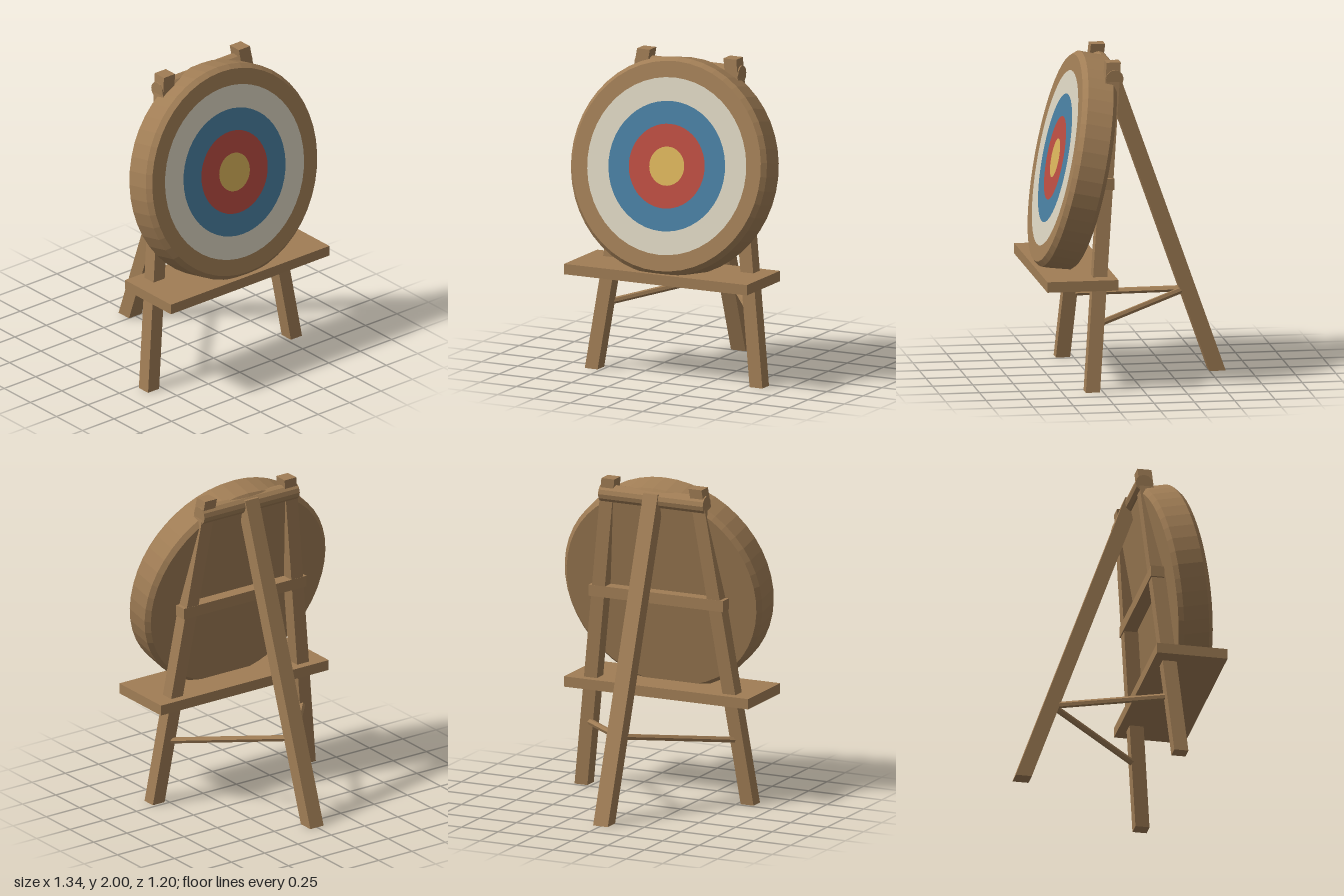
import * as THREE from 'three';

const paint = (color) => new THREE.MeshStandardMaterial({ color, flatShading: true });

export function createModel() {
  const model = new THREE.Group();
  model.name = 'archeryTarget';
  const wood = paint(0xa07d55);

  const add = (name, geometry, material = wood, parent = model) => {
    const mesh = new THREE.Mesh(geometry, material);
    mesh.name = name;
    parent.add(mesh);
    return mesh;
  };

  // Slanted square post whose ends are cut level
  const post = (name, bottom, top, width, depth) => {
    const g = new THREE.BoxGeometry(width, 1, depth);
    const p = g.attributes.position;
    const a = new THREE.Vector3(...bottom), b = new THREE.Vector3(...top);
    for (let i = 0; i < p.count; i++) {
      const c = a.clone().lerp(b, p.getY(i) + 0.5);
      p.setXYZ(i, p.getX(i) + c.x, c.y, p.getZ(i) + c.z);
    }
    g.computeVertexNormals();
    return add(name, g);
  };

  // Round rod between two points
  const rod = (name, from, to, radius, sides) => {
    const a = new THREE.Vector3(...from), b = new THREE.Vector3(...to);
    const mesh = add(name, new THREE.CylinderGeometry(radius, radius, a.distanceTo(b), sides));
    mesh.position.copy(a).add(b).multiplyScalar(0.5);
    mesh.quaternion.setFromUnitVectors(new THREE.Vector3(0, 1, 0), b.sub(a).normalize());
    return mesh;
  };

  // Straight box
  const box = (name, size, position) =>
    add(name, new THREE.BoxGeometry(...size)).position.set(...position);

  // Tilted target: bevelled wooden disc with painted rings set in its face
  const target = new THREE.Group();
  target.name = 'target';
  target.position.set(0, 1.35, 0.45);
  target.rotation.x = THREE.MathUtils.degToRad(-12);
  model.add(target);

  const profile = [[0, -0.218], [0.645, -0.218], [0.672, -0.19], [0.672, -0.03], [0.645, 0], [0.545, 0]]
    .map(([r, y]) => new THREE.Vector2(r, y));
  add('disc', new THREE.LatheGeometry(profile, 48), wood, target).rotation.x = Math.PI / 2;

  const rings = [
    ['goldCentre', 0, 0.12, 0xd8b25a],
    ['redRing', 0.12, 0.26, 0xb94c41],
    ['blueRing', 0.26, 0.40, 0x487d9f],
    ['whiteRing', 0.40, 0.545, 0xd8d1be],
  ];
  for (const [name, inner, outer, color] of rings) {
    const g = inner ? new THREE.RingGeometry(inner, outer, 48) : new THREE.CircleGeometry(outer, 48);
    add(name, g, paint(color), target);
  }

  // Front legs and the braces running back to the rear leg
  for (const [side, s] of [['left', 1], ['right', -1]]) {
    post(side + 'FrontLeg', [s * 0.568, 0, 0.315], [s * 0.298, 2, 0.142], 0.088, 0.088);
    rod(side + 'Brace', [s * 0.51, 0.405, 0.27], [s * 0.01, 0.51, -0.35], 0.02, 6);
  }

  post('rearLeg', [0, 0, -0.55], [0, 1.94, 0.135], 0.1, 0.1);

  // Shelf and crossbars
  box('shelf', [1.26, 0.065, 0.44], [0, 0.668, 0.38]);
  box('middleCrossbar', [0.92, 0.07, 0.085], [0, 1.265, 0.2]);
  rod('topCrossbar', [-0.358, 1.9, 0.138], [0.358, 1.9, 0.138], 0.055, 12);

  return model;
}
